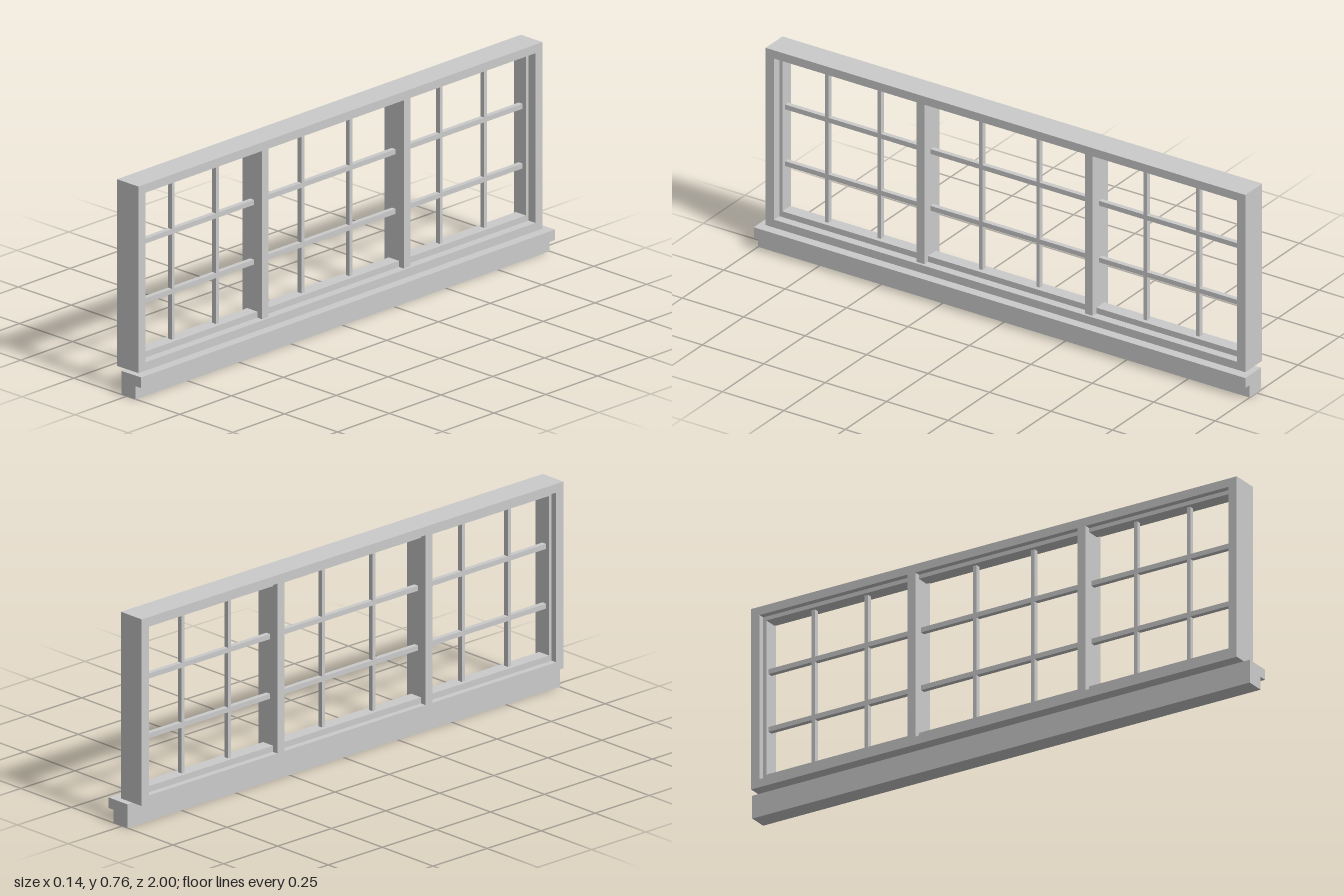
import * as THREE from 'three';

const material = new THREE.MeshStandardMaterial({ color: 0xcccccc, flatShading: true });

// Box given by its extents along each axis
function slab(name, [x0, x1], [y0, y1], [z0, z1]) {
  const geometry = new THREE.BoxGeometry(x1 - x0, y1 - y0, z1 - z0);
  geometry.translate((x0 + x1) / 2, (y0 + y1) / 2, (z0 + z1) / 2);
  const mesh = new THREE.Mesh(geometry, material);
  mesh.name = name;
  return mesh;
}

function rectangle(PathType, halfWidth, y0, y1) {
  return new PathType([
    [-halfWidth, y0], [halfWidth, y0], [halfWidth, y1], [-halfWidth, y1],
  ].map(([x, y]) => new THREE.Vector2(x, y)));
}

// Rectangular ring standing in the z-y plane, running from x0 to x1
function ring(name, outer, inner, [x0, x1]) {
  const shape = rectangle(THREE.Shape, ...outer);
  shape.holes.push(rectangle(THREE.Path, ...inner));
  const geometry = new THREE.ExtrudeGeometry(shape, { depth: x1 - x0, bevelEnabled: false });
  geometry.rotateY(Math.PI / 2).translate(x0, 0, 0);
  const mesh = new THREE.Mesh(geometry, material);
  mesh.name = name;
  return mesh;
}

export function createModel() {
  const model = new THREE.Group();
  model.name = 'window';

  // Sill with a projecting nose
  const profile = [[-0.026, 0], [0.042, 0], [0.042, 0.047], [0.068, 0.047], [0.068, 0.085], [-0.026, 0.085]];
  const sillShape = new THREE.Shape(profile.map(([x, y]) => new THREE.Vector2(x, y)));
  const sillGeometry = new THREE.ExtrudeGeometry(sillShape, { depth: 2, bevelEnabled: false });
  const sill = new THREE.Mesh(sillGeometry.translate(0, 0, -1), material);
  sill.name = 'sill';
  model.add(sill);

  // Outer frame and the thinner glazing stop inside it
  const opening = [0.942, 0.115, 0.726];
  const glazing = [0.929, 0.137, 0.711];
  model.add(ring('frame', [0.976, 0.085, 0.757], opening, [-0.07, 0.032]));
  model.add(ring('glazingStop', opening, glazing, [-0.048, 0]));

  // Two deep mullions split the opening into three bays
  const mullions = new THREE.Group();
  mullions.name = 'mullions';
  for (const z of [0.353, -0.332]) {
    mullions.add(slab('mullion', [-0.07, 0.022], [0.115, 0.726], [z - 0.016, z + 0.016]));
  }
  model.add(mullions);

  // Thin glazing bars
  const bars = new THREE.Group();
  bars.name = 'glazingBars';
  const barDepth = [-0.034, -0.016];
  for (const z of [0.759, 0.546, 0.133, -0.1, -0.536, -0.75]) {
    bars.add(slab('verticalBar', barDepth, [0.137, 0.711], [z - 0.007, z + 0.007]));
  }
  const bays = [[0.369, 0.929], [-0.316, 0.337], [-0.929, -0.348]];
  for (const y of [0.311, 0.526]) {
    for (const bay of bays) bars.add(slab('horizontalBar', barDepth, [y - 0.009, y + 0.009], bay));
  }
  model.add(bars);

  return model;
}
